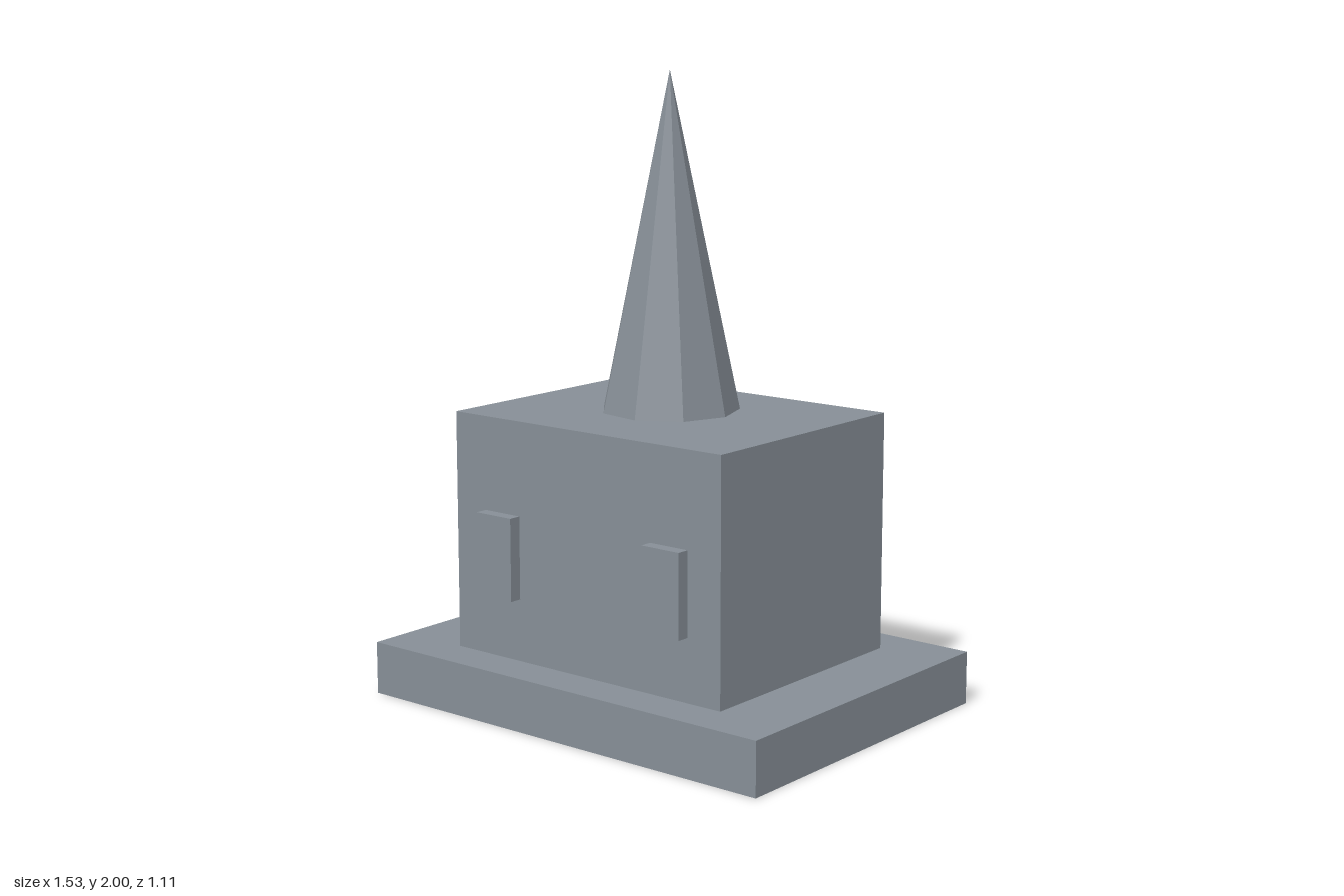
import * as THREE from 'three';

export function createModel() {
  const group = new THREE.Group();
  const stone = new THREE.MeshStandardMaterial({ color: 0x868e96, flatShading: true });
  stone.name = 'grey stone';

  const add = (name, geometry, x, y, z) => {
    const mesh = new THREE.Mesh(geometry, stone);
    mesh.name = name;
    mesh.position.set(x, y, z);
    group.add(mesh);
  };
  // Box placed by the height of its underside
  const box = (name, w, h, d, x, bottom, z) =>
    add(name, new THREE.BoxGeometry(w, h, d), x, bottom + h / 2, z);

  // Plinth and main block
  box('plinth', 1.53, 0.17, 1.11, 0, 0, 0);
  box('body', 1.056, 0.765, 0.83, 0, 0.17, 0);

  // Raised window panels on the front wall
  for (const side of [-1, 1]) {
    box(side > 0 ? 'leftWindow' : 'rightWindow', 0.142, 0.265, 0.05, side * 0.334, 0.37, 0.431);
  }

  // Nine-sided spire with a corner towards +x, hovering just above the roof
  const spire = new THREE.ConeGeometry(0.22, 1.055, 9).rotateY(Math.PI / 2);
  add('spire', spire, 0, 0.945 + 1.055 / 2, 0);

  return group;
}
